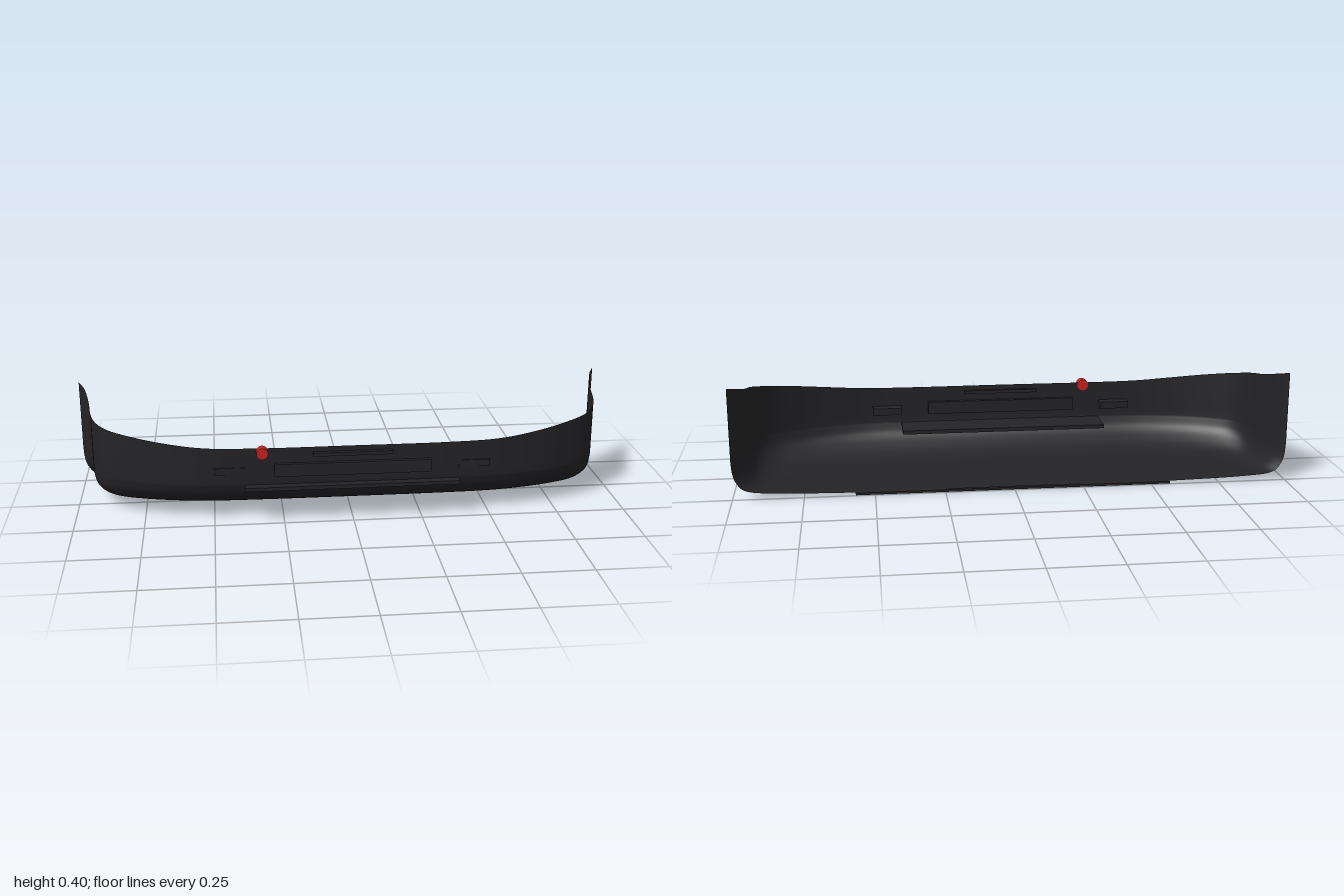
import * as THREE from 'three';

const dark = new THREE.MeshStandardMaterial({ color: 0x242427, side: THREE.DoubleSide });
const red = new THREE.MeshStandardMaterial({ color: 0xcc2222 });
const BACK = -0.245;

// Half of the rim, from the back corner to the front centre: x, top height, z
const HALF_RIM = [
  [1, 0.402, BACK], [0.976, 0.39, -0.2], [0.952, 0.365, -0.1], [0.937, 0.347, 0],
  [0.918, 0.336, 0.05], [0.875, 0.324, 0.1], [0.775, 0.308, 0.15],
  [0.66, 0.292, 0.185], [0.53, 0.279, 0.207], [0.35, 0.275, 0.215],
];

// Lower section: inward scale in x, height, inward scale in z
const SECTION = [
  [1, 0.14, 1], [0.997, 0.1, 0.967], [0.985, 0.062, 0.87], [0.95, 0.029, 0.72],
  [0.85, 0.018, 0.57], [0.6, 0.011, 0.38], [0.3, 0.007, 0.18], [0, 0.003, 0],
];

const spline = (pts) =>
  new THREE.CatmullRomCurve3(pts.map((p) => new THREE.Vector3(...p)), false, 'centripetal');

// Shell: a curved wall swept around the rim, rolling under into the floor
function shellGeometry() {
  const mirrored = HALF_RIM.map(([x, y, z]) => [-x, y, z]).reverse();
  const rim = spline([...HALF_RIM, [0, 0.275, 0.217], ...mirrored]).getSpacedPoints(120);
  const under = spline(SECTION).getPoints(42);
  const wallRows = 6;
  const rows = wallRows + under.length;
  const pos = [], index = [];
  for (let v = 0; v < rows; v++) {
    for (const p of rim) {
      const s = under[Math.max(0, v - wallRows)];
      const y = v < wallRows ? THREE.MathUtils.lerp(p.y, s.y, v / wallRows) : s.y;
      pos.push(p.x * s.x, y, BACK + (p.z - BACK) * s.z);
    }
  }
  const n = rim.length;
  for (let v = 0; v < rows - 1; v++) {
    for (let u = 0; u < n - 1; u++) {
      const a = v * n + u, b = a + 1, c = a + n, d = c + 1;
      index.push(a, c, b, b, c, d);
    }
  }
  // Wind the faces outward
  for (let i = 0; i < index.length; i += 3) [index[i + 1], index[i + 2]] = [index[i + 2], index[i + 1]];
  const g = new THREE.BufferGeometry();
  g.setAttribute('position', new THREE.Float32BufferAttribute(pos, 3));
  g.setIndex(index);
  g.computeVertexNormals();
  return g;
}

export function createModel() {
  const model = new THREE.Group();
  model.name = 'bumper';

  const add = (name, geometry, material = dark) => {
    const mesh = new THREE.Mesh(geometry, material);
    mesh.name = name;
    model.add(mesh);
    return mesh;
  };
  // Box given by its ranges
  const box = (name, [x0, x1], [y0, y1], [z0, z1]) =>
    add(name, new THREE.BoxGeometry(x1 - x0, y1 - y0, z1 - z0))
      .position.set((x0 + x1) / 2, (y0 + y1) / 2, (z0 + z1) / 2);

  add('shell', shellGeometry());

  // Parts on the front face
  box('plateHolder', [-0.283, 0.283], [0.17, 0.217], [0.2, 0.232]);
  box('handleStrip', [-0.143, 0.143], [0.243, 0.256], [0.208, 0.234]);
  box('stepPlate', [-0.387, 0.387], [0.123, 0.137], [0.085, 0.248]);

  // Lamps set through the wall, mirrored
  box('leftLamp', [0.387, 0.497], [0.178, 0.204], [0.17, 0.217]);
  box('rightLamp', [-0.497, -0.387], [0.178, 0.204], [0.17, 0.217]);

  // Thin lip under the rear edge of the floor
  box('rearLip', [-0.57, 0.57], [0, 0.008], [BACK, BACK + 0.015]);

  // Round red button
  const button = add('redButton', new THREE.CylinderGeometry(0.021, 0.021, 0.033, 32), red);
  button.rotation.x = Math.PI / 2;
  button.position.set(-0.325, 0.264, 0.2315);

  return model;
}
